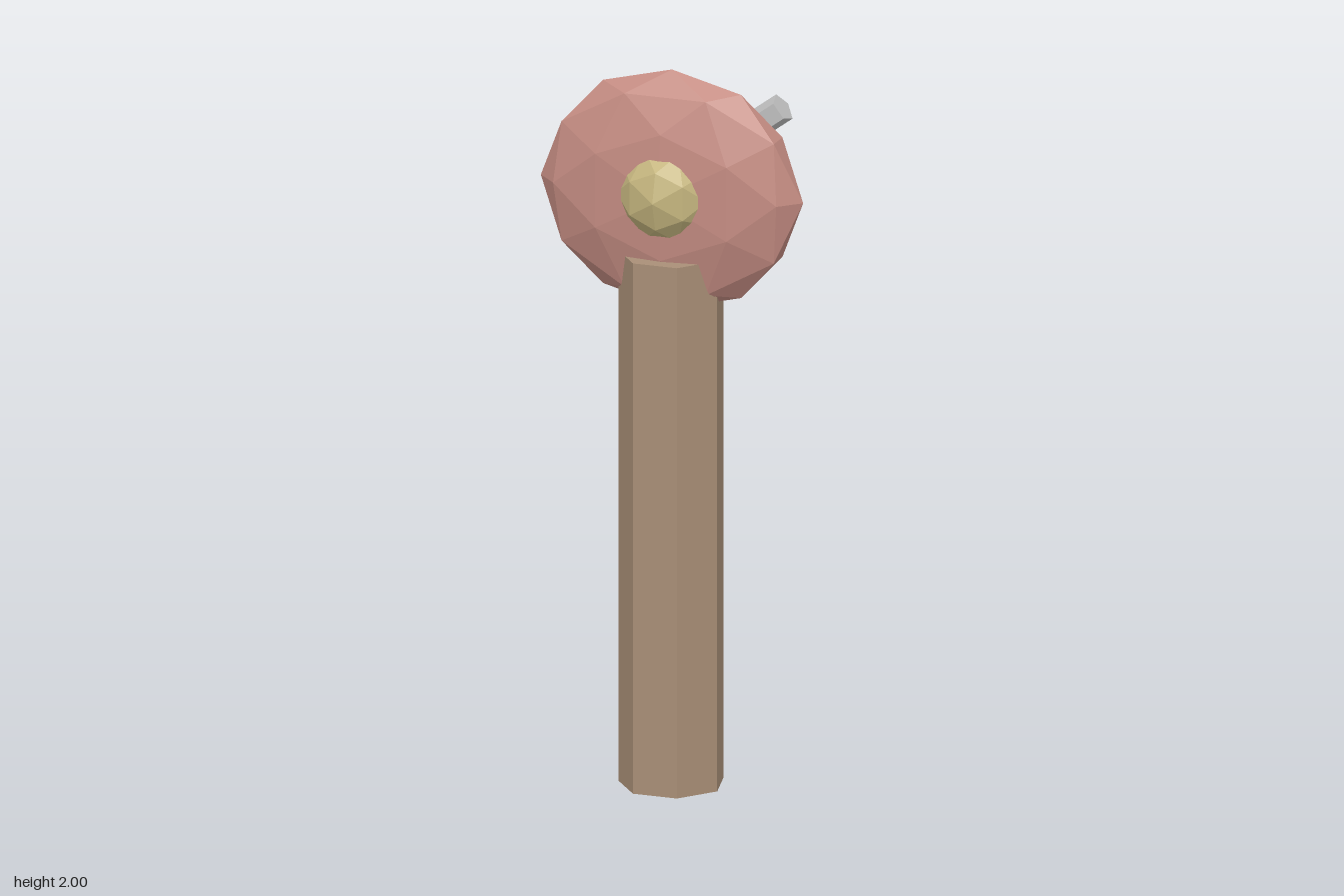
import * as THREE from 'three';

const colour = (name, hex) => {
  const m = new THREE.MeshStandardMaterial({ color: hex });
  m.name = name;
  return m;
};

// Give every face its own normal for the faceted low-poly look
function faceted(geometry) {
  const g = geometry.index ? geometry.toNonIndexed() : geometry;
  g.computeVertexNormals();
  return g;
}

export function createModel() {
  const wood = colour('wood brown', 0xa98f77);
  const pink = colour('dusty pink', 0xc48c82);
  const gold = colour('pale gold', 0xc4b57e);
  const metal = colour('light grey', 0xbfbfbf);

  const model = new THREE.Group();
  model.name = 'flowerPost';
  const headY = 1.665, headZ = 0.131;

  const add = (name, geometry, material, x, y, z) => {
    const mesh = new THREE.Mesh(faceted(geometry), material);
    mesh.name = name;
    mesh.position.set(x, y, z);
    model.add(mesh);
    return mesh;
  };

  // Seven-sided post with a flat side to the front
  const post = new THREE.CylinderGeometry(0.145, 0.145, 1.487, 7).rotateY(Math.PI);
  add('post', post, wood, 0, 1.487 / 2, headZ);

  // Flattened disc and the round core that bulges out on both sides
  const disc = new THREE.IcosahedronGeometry(1, 1).scale(0.375, 0.335, 0.108);
  add('disc', disc, pink, 0, headY, headZ);
  add('core', new THREE.IcosahedronGeometry(0.152, 1), gold, 0, headY, headZ);

  // Two crossed five-sided bars floating behind the disc
  for (const side of [-1, 1]) {
    const bar = new THREE.CylinderGeometry(0.0413, 0.0413, 0.44, 5);
    if (side > 0) bar.rotateY(Math.PI);
    bar.rotateZ(-side * THREE.MathUtils.degToRad(53.5));
    add(side > 0 ? 'leftBar' : 'rightBar', bar, metal, 0, 1.672, -0.2445);
  }

  return model;
}
